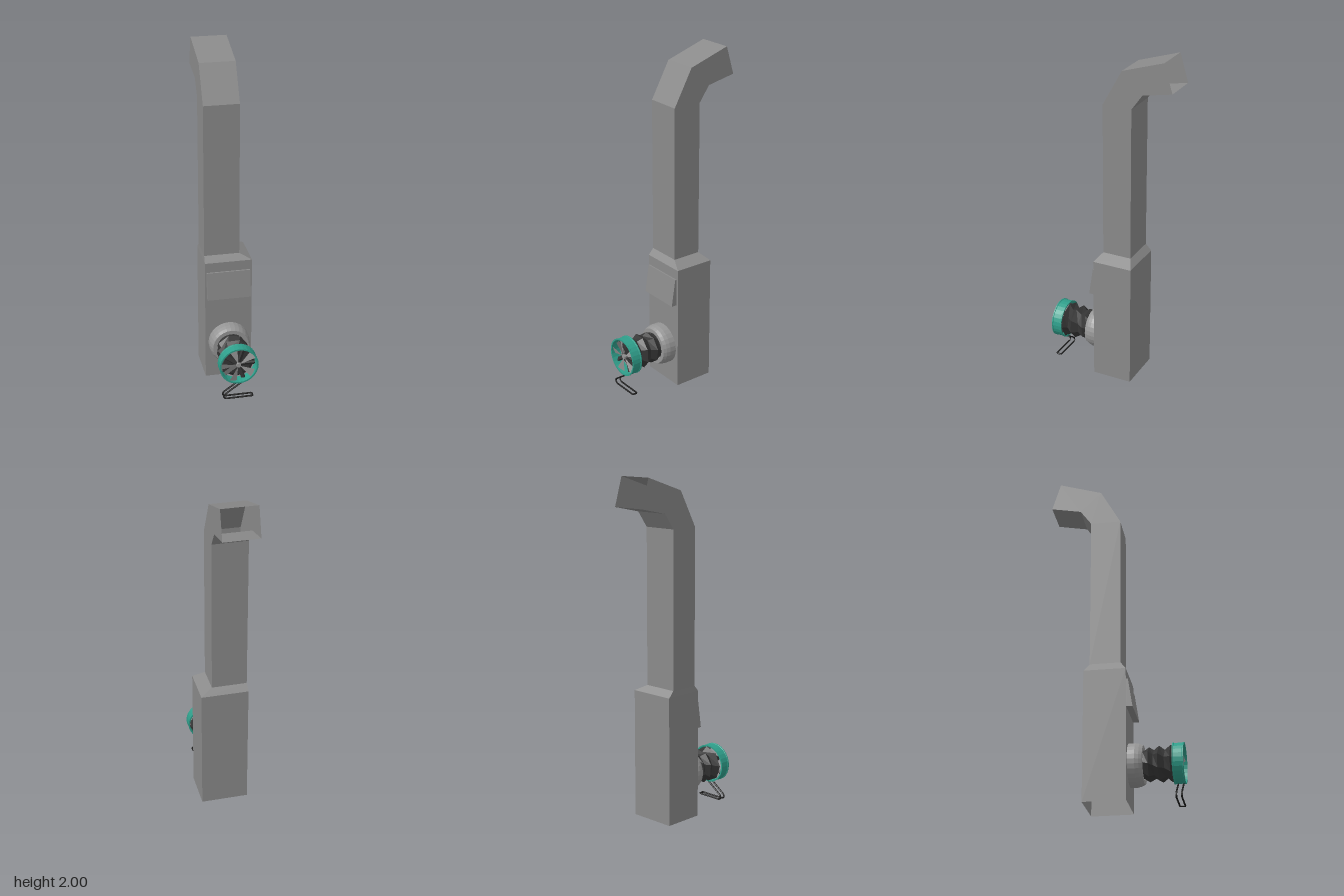
import * as THREE from 'three';

const mat = (name, color) => {
  const m = new THREE.MeshStandardMaterial({ color, side: THREE.DoubleSide, flatShading: true });
  m.name = name;
  return m;
};

// Skin a list of equal-length loops of [x, y, z] points; loops run anticlockwise seen from the end
function loft(loops, capEnds = false) {
  const pos = [], n = loops[0].length;
  for (let i = 0; i < loops.length - 1; i++) {
    for (let j = 0; j < n; j++) {
      const k = (j + 1) % n, a = loops[i][j], b = loops[i][k], c = loops[i + 1][k], d = loops[i + 1][j];
      pos.push(...a, ...b, ...c, ...a, ...c, ...d);
    }
  }
  if (capEnds) {
    const first = loops[0], last = loops[loops.length - 1];
    for (let j = 1; j < n - 1; j++) {
      pos.push(...last[0], ...last[j], ...last[j + 1], ...first[0], ...first[j + 1], ...first[j]);
    }
  }
  const g = new THREE.BufferGeometry();
  g.setAttribute('position', new THREE.Float32BufferAttribute(pos, 3));
  g.computeVertexNormals();
  return g;
}

export function createModel() {
  const model = new THREE.Group();
  const grey = mat('sheet metal grey', 0x8a8a8a);
  const pale = mat('collar grey', 0x969696);
  const dark = mat('rubber black', 0x363636);
  const teal = mat('teal', 0x2f9f8b);
  const black = mat('wire black', 0x1c1c1c);
  const add = (name, geo, material, parent = model) => {
    const m = new THREE.Mesh(geo, material);
    m.name = name;
    parent.add(m);
    return m;
  };

  // Duct: each section is left x, right x, front y, front z, back y, back z; both ends open
  const section = ([x0, x1, yf, zf, yb, zb]) =>
    [[x0, yf, zf], [x1, yf, zf], [x1, yb, zb], [x0, yb, zb]];
  add('cabinet', loft([
    [-0.14, 0.14, 0, 0.07, 0, -0.17],
    [-0.14, 0.14, 0.76, 0.07, 0.76, -0.17],
    [-0.138, 0.07, 0.797, 0.04, 0.797, -0.135],
  ].map(section)), grey);
  add('chimney', loft([
    [-0.138, 0.07, 0.797, 0.04, 0.797, -0.135],
    [-0.138, 0.07, 1.71, 0.04, 1.71, -0.135],
    [-0.138, 0.07, 1.92, -0.076, 1.8, -0.2],
    [-0.138, 0.07, 2, -0.325, 1.835, -0.375],
  ].map(section)), grey);

  // Sloping hatch on the cabinet front
  add('hatch', loft([
    [-0.13, 0.128, 0.535, 0.105, 0.535, 0.069],
    [-0.13, 0.128, 0.7, 0.08, 0.7, 0.069],
  ].map(section), true), grey);

  // Nozzle assembly, built around the z axis
  const nozzle = new THREE.Group();
  nozzle.name = 'nozzle';
  nozzle.position.y = 0.235;
  model.add(nozzle);
  const lathe = (points, sides) =>
    new THREE.LatheGeometry(points.map(p => new THREE.Vector2(...p)), sides).rotateX(Math.PI / 2);

  const smoothPale = pale.clone();
  smoothPale.flatShading = false;
  add('collar', lathe([[0.122, 0.07], [0.122, 0.11], [0.117, 0.132], [0.108, 0.15],
    [0.085, 0.15], [0.08, 0.12]], 28), pale);

  // Folded hose with slightly skewed ridges: z, radius, skew
  const hose = [[0.06, 0.072, 0], [0.15, 0.078, 0], [0.18, 0.096, 0], [0.21, 0.078, 0.006],
    [0.243, 0.102, 0.012], [0.275, 0.08, 0.01], [0.305, 0.108, 0.005], [0.322, 0.085, 0]];
  add('hose', loft(hose.map(([z, r, skew], i) => Array.from({ length: 8 }, (_, j) => {
    const a = (j / 8) * Math.PI * 2 + i * 0.12;
    return [r * Math.cos(a), r * Math.sin(a), z + skew * Math.cos(a)];
  })), true), dark);

  // Open ring with thin rolled rims
  add('ring', lathe([[0.106, 0.312], [0.115, 0.312], [0.115, 0.318], [0.112, 0.32], [0.112, 0.367],
    [0.115, 0.369], [0.115, 0.375], [0.106, 0.375], [0.106, 0.312]], 28), teal);

  // Pitched fan blades with dark struts between them
  const blade = new THREE.BufferGeometry();
  blade.setAttribute('position', new THREE.Float32BufferAttribute(
    [0.01, 0, 0, 0.106, -0.024, 0.008, 0.106, 0.024, -0.008], 3));
  blade.computeVertexNormals();
  for (let i = 0; i < 5; i++) {
    const a = Math.PI + (i / 5) * Math.PI * 2;
    const b = add('fanBlade', blade, pale, nozzle);
    b.position.z = 0.36;
    b.rotation.z = a;
    const strut = new THREE.BoxGeometry(0.085, 0.022, 0.012).rotateX(0.6).translate(0.055, 0, 0.345);
    add('fanStrut', strut, dark, nozzle).rotation.z = a + Math.PI / 5;
  }
  add('hub', new THREE.CylinderGeometry(0.014, 0.014, 0.045, 10).rotateX(Math.PI / 2)
    .translate(0, 0, 0.343), pale, nozzle);
  for (const name of ['collar', 'hose', 'ring']) nozzle.add(model.getObjectByName(name));

  // Bent wire foot: two parallel strands joined at the tip
  const side = [[0.03, 0.128], [-0.085, 0.045], [-0.09, 0.03], [-0.078, 0.018], [0.085, 0.018]];
  const wire = [...side.map(([x, y]) => new THREE.Vector3(x, y, 0.361)),
    ...side.slice().reverse().map(([x, y]) => new THREE.Vector3(x, y, 0.331))];
  const path = new THREE.CurvePath();
  for (let i = 0; i < wire.length - 1; i++) path.add(new THREE.LineCurve3(wire[i], wire[i + 1]));
  add('wireFoot', new THREE.TubeGeometry(path, 120, 0.005, 6), black);

  return model;
}
